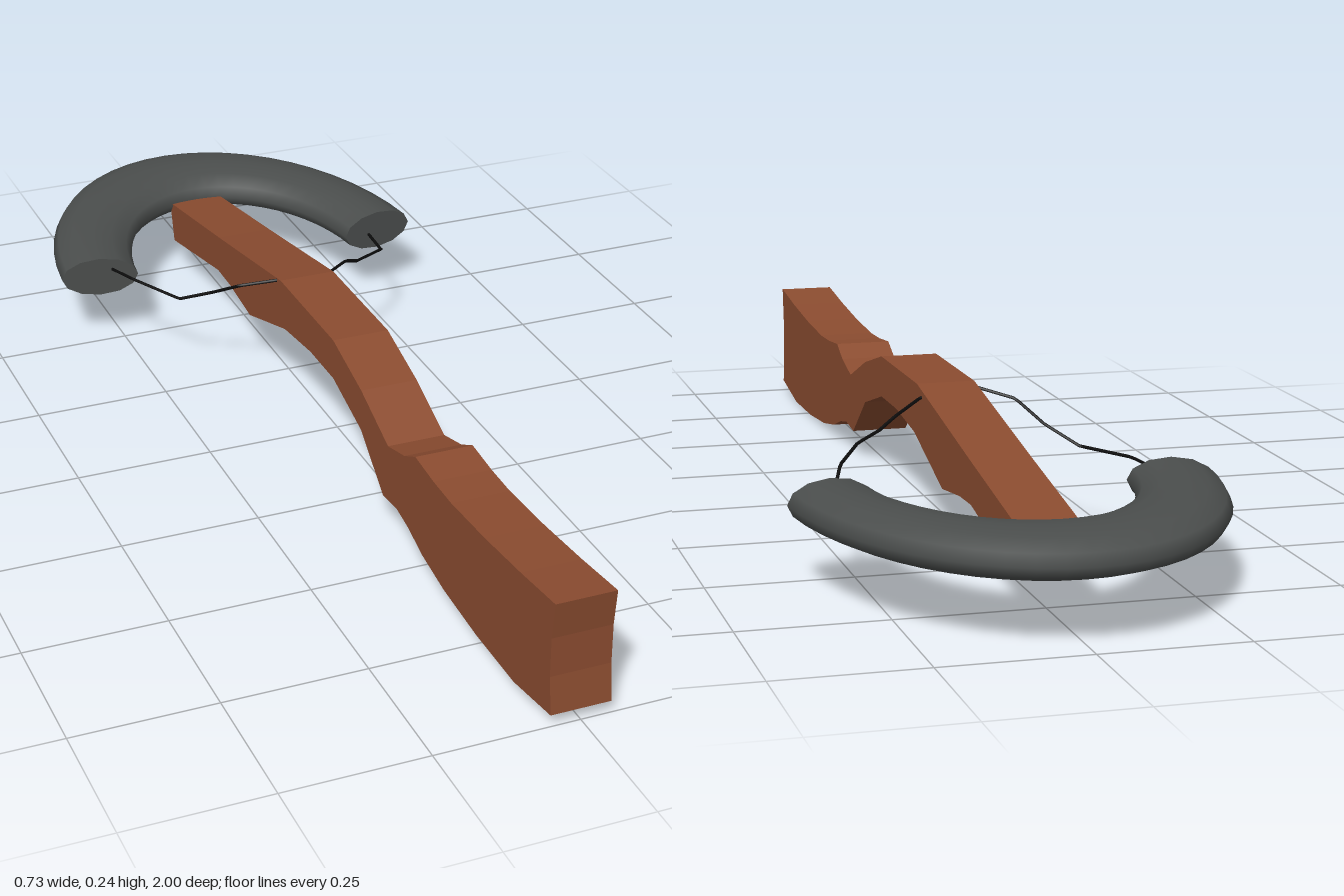
import * as THREE from 'three';

const material = (color) => new THREE.MeshStandardMaterial({ color, roughness: 0.8 });

function addMesh(parent, name, geometry, mat) {
  const mesh = new THREE.Mesh(geometry, mat);
  mesh.name = name;
  parent.add(mesh);
  return mesh;
}

// Side outline of the stock as [z, y], swept across the width
function stockGeometry(width) {
  const top = [
    [1, 0.226], [0.88, 0.212], [0.75, 0.2], [0.62, 0.193], [0.55, 0.195], [0.475, 0.202],
    [0.43, 0.18], [0.36, 0.162], [0.24, 0.21], [0.11, 0.246], [-0.15, 0.246],
    [-0.49, 0.187], [-0.79, 0.137],
  ];
  const bottom = [
    [-0.77, 0.06], [-0.5, 0.112], [-0.43, 0.11], [-0.32, 0.096], [-0.13, 0.155], [0, 0.17],
    [0.11, 0.17], [0.24, 0.132], [0.34, 0.054], [0.4, 0.06], [0.45, 0.05], [0.51, 0.03],
    [0.6, 0.014], [0.73, 0.004], [0.87, 0.003], [1, 0.024], [0.992, 0.09], [0.992, 0.16],
  ];
  const shape = new THREE.Shape([...top, ...bottom].map(([z, y]) => new THREE.Vector2(z, y)));
  const geometry = new THREE.ExtrudeGeometry(shape, { depth: width, bevelEnabled: false });
  return geometry.rotateY(-Math.PI / 2).translate(width / 2, 0, 0);
}

export function createModel() {
  const model = new THREE.Group();
  model.name = 'crossbow';
  const wood = material(0x8b4c30);
  const metal = material(0x4b4e4d);
  const cord = material(0x0c0c0c);

  addMesh(model, 'stock', stockGeometry(0.105), wood);

  // Bow limb: a flattened, stretched part of a torus with capped ends
  const bow = new THREE.Group();
  bow.name = 'bow';
  model.add(bow);
  const R = 0.295, r = 0.074, endAngle = 0.12;
  const place = (g) => g.rotateX(-Math.PI / 2).scale(1, 0.52, 1.47).translate(0, 0.1365, -0.457);
  const limb = new THREE.TorusGeometry(R, r, 12, 24, Math.PI - 2 * endAngle).rotateZ(endAngle);
  addMesh(bow, 'bowLimb', place(limb), metal);
  for (const side of [1, -1]) {
    const cap = new THREE.CircleGeometry(r, 12).rotateX(Math.PI / 2);
    cap.translate(side * R, 0, 0).rotateZ(side * endAngle);
    addMesh(bow, side > 0 ? 'leftBowEnd' : 'rightBowEnd', place(cap), metal);
  }

  // Slack string from one bow end over the stock to the other
  const points = [
    [-0.27, 0.153, -0.5], [-0.25, 0.159, -0.43], [-0.194, 0.157, -0.32], [-0.147, 0.187, -0.265],
    [-0.112, 0.222, -0.205], [-0.053, 0.238, -0.17], [0.053, 0.228, -0.18], [0.118, 0.212, -0.25],
    [0.152, 0.195, -0.275], [0.2, 0.184, -0.315], [0.243, 0.162, -0.37], [0.263, 0.137, -0.42],
    [0.271, 0.133, -0.5],
  ].map((p) => new THREE.Vector3(...p));
  const path = new THREE.CatmullRomCurve3(points, false, 'catmullrom', 0);
  addMesh(model, 'bowString', new THREE.TubeGeometry(path, 72, 0.003, 6), cord);

  return model;
}
